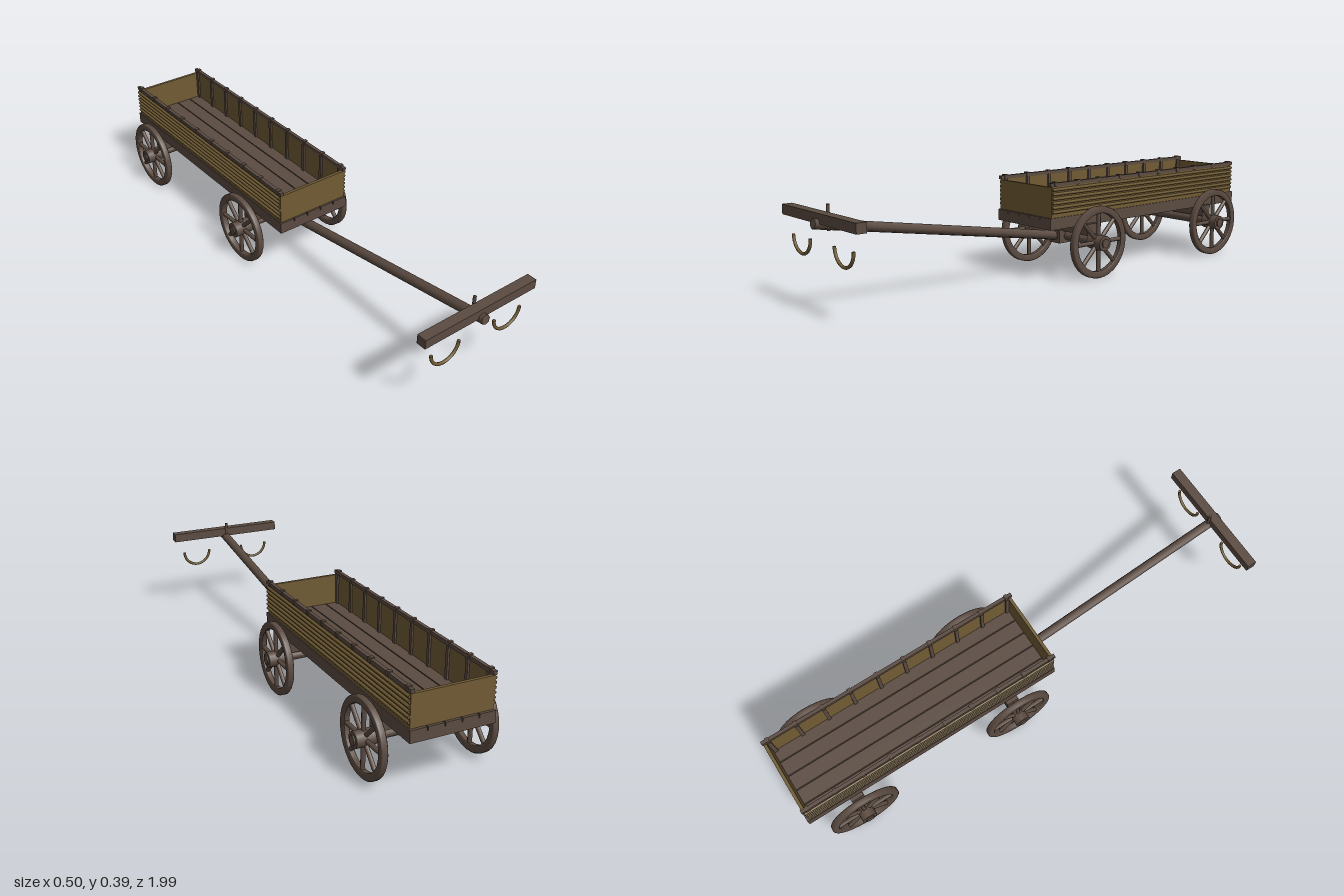
import * as THREE from 'three';

export function createModel() {
  const root = new THREE.Group();
  const wood = new THREE.MeshStandardMaterial({ color: 0x5b4b41 });
  wood.name = 'dark brown wood';
  const tan = new THREE.MeshStandardMaterial({ color: 0x705b34 });
  tan.name = 'tan wood';

  function add(name, geo, mat, x = 0, y = 0, z = 0, parent = root) {
    const mesh = new THREE.Mesh(geo, mat);
    mesh.name = name;
    mesh.position.set(x, y, z);
    parent.add(mesh);
    return mesh;
  }
  // Box given by its limits on each axis
  function block(name, mat, x0, x1, y0, y1, z0, z1) {
    return add(name, new THREE.BoxGeometry(x1 - x0, y1 - y0, z1 - z0), mat,
      (x0 + x1) / 2, (y0 + y1) / 2, (z0 + z1) / 2);
  }
  // Cylinder lying along x
  function barX(name, mat, r, len, x, y, z, sides = 16, parent = root) {
    const geo = new THREE.CylinderGeometry(r, r, len, sides).rotateZ(Math.PI / 2);
    return add(name, geo, mat, x, y, z, parent);
  }

  const back = -0.995, front = 0.097, mid = (back + front) / 2;

  // Bed: closed deck, frame beams and five floor planks
  block('deck', wood, -0.15, 0.15, 0.224, 0.237, back + 0.01, front - 0.01);
  for (const z of [front - 0.03, back]) {
    block('endBeam', wood, -0.157, 0.157, 0.205, 0.237, z, z + 0.03);
  }
  for (const s of [-1, 1]) {
    const x = s * 0.148;
    block('sideBeam', wood, x - 0.009, x + 0.009, 0.205, 0.25, back, front);
  }
  for (let i = -2; i <= 2; i++) {
    const x = i * 0.063;
    block('floorPlank', wood, x - 0.0295, x + 0.0295, 0.237, 0.25, back, front);
  }

  // End walls
  block('frontWall', tan, -0.153, 0.153, 0.25, 0.368, 0.078, 0.09);
  block('rearWall', tan, -0.153, 0.153, 0.25, 0.368, -0.985, -0.973);

  // Side walls: panel, rounded slats, inner posts and a top rail
  for (const s of [-1, 1]) {
    const x = s * 0.149;
    block('sidePanel', tan, x - 0.004, x + 0.004, 0.25, 0.372, -0.98, 0.085);
    for (let i = 0; i < 6; i++) {
      const slat = new THREE.CylinderGeometry(0.006, 0.006, 1.07, 10).rotateX(Math.PI / 2);
      add('sideSlat', slat, tan, s * 0.155, 0.272 + i * 0.0172, -0.448);
    }
    block('topRail', wood, x - 0.007, x + 0.007, 0.37, 0.384, -0.988, 0.094);
    for (let i = 0; i < 10; i++) {
      const z = 0.07 - i * 0.1148;
      const px = s * 0.142;
      block('innerPost', wood, px - 0.004, px + 0.004, 0.25, 0.372, z - 0.007, z + 0.007);
      block('railClip', wood, x - 0.009, x + 0.009, 0.369, 0.388, z - 0.007, z + 0.007);
    }
  }

  // Wheel with rim, spokes, hub and axle cap
  const rimProfile = [[0.115, -0.009], [0.119, -0.0125], [0.138, -0.0125], [0.142, -0.009],
    [0.142, 0.009], [0.138, 0.0125], [0.119, 0.0125], [0.115, 0.009], [0.115, -0.009]]
    .map(([r, y]) => new THREE.Vector2(r, y));
  function wheel(name, s, z) {
    const g = new THREE.Group();
    g.name = name;
    g.position.set(s * 0.2075, 0.142, z);
    add('rim', new THREE.LatheGeometry(rimProfile, 32).rotateZ(Math.PI / 2), wood, 0, 0, 0, g);
    for (let i = 0; i < 8; i++) {
      const spoke = new THREE.CylinderGeometry(0.0085, 0.0085, 0.1, 8).translate(0, 0.07, 0);
      add('spoke', spoke, wood, 0, 0, 0, g).rotation.x = i * Math.PI / 4;
    }
    barX('hub', wood, 0.03, 0.075, 0, 0, 0, 16, g);
    barX('axleCap', wood, 0.018, 0.012, s * 0.0365, 0, 0, 12, g);
    root.add(g);
  }
  for (const [label, z] of [['front', -0.106], ['rear', -0.798]]) {
    barX(label + 'Axle', wood, 0.018, 0.4, 0, 0.142, z, 12);
    block(label + 'Bolster', wood, -0.172, 0.172, 0.164, 0.21, z - 0.025, z + 0.025);
    wheel(label + 'LeftWheel', 1, z);
    wheel(label + 'RightWheel', -1, z);
  }

  // Draw pole with its clamp at the front axle
  const a = new THREE.Vector3(0, 0.117, -0.235), b = new THREE.Vector3(0, 0.318, 0.997);
  const dir = b.clone().sub(a);
  const pole = add('drawPole', new THREE.CylinderGeometry(0.0185, 0.0185, dir.length(), 8), wood);
  pole.position.copy(a).add(b).multiplyScalar(0.5);
  pole.quaternion.setFromUnitVectors(new THREE.Vector3(0, 1, 0), dir.normalize());
  block('poleClamp', wood, -0.03, 0.03, 0.115, 0.168, -0.15, -0.062);

  // Crossbar, pin and two hanging half rings
  block('crossbar', wood, -0.25, 0.25, 0.316, 0.352, 0.943, 0.981);
  add('crossbarPin', new THREE.CylinderGeometry(0.006, 0.006, 0.09, 8), wood, 0, 0.333, 0.94);
  for (const s of [-1, 1]) {
    const ring = new THREE.Group();
    ring.name = 'harnessRing';
    ring.position.set(s * 0.142, 0.252, 0.966);
    const arc = new THREE.TorusGeometry(0.061, 0.006, 8, 24, Math.PI).rotateZ(Math.PI);
    add('ringArc', arc, tan, 0, 0, 0, ring);
    for (const e of [-1, 1]) {
      const cap = new THREE.CircleGeometry(0.006, 8).rotateX(-Math.PI / 2);
      add('ringEnd', cap, tan, e * 0.061, 0, 0, ring);
    }
    root.add(ring);
  }
  return root;
}
